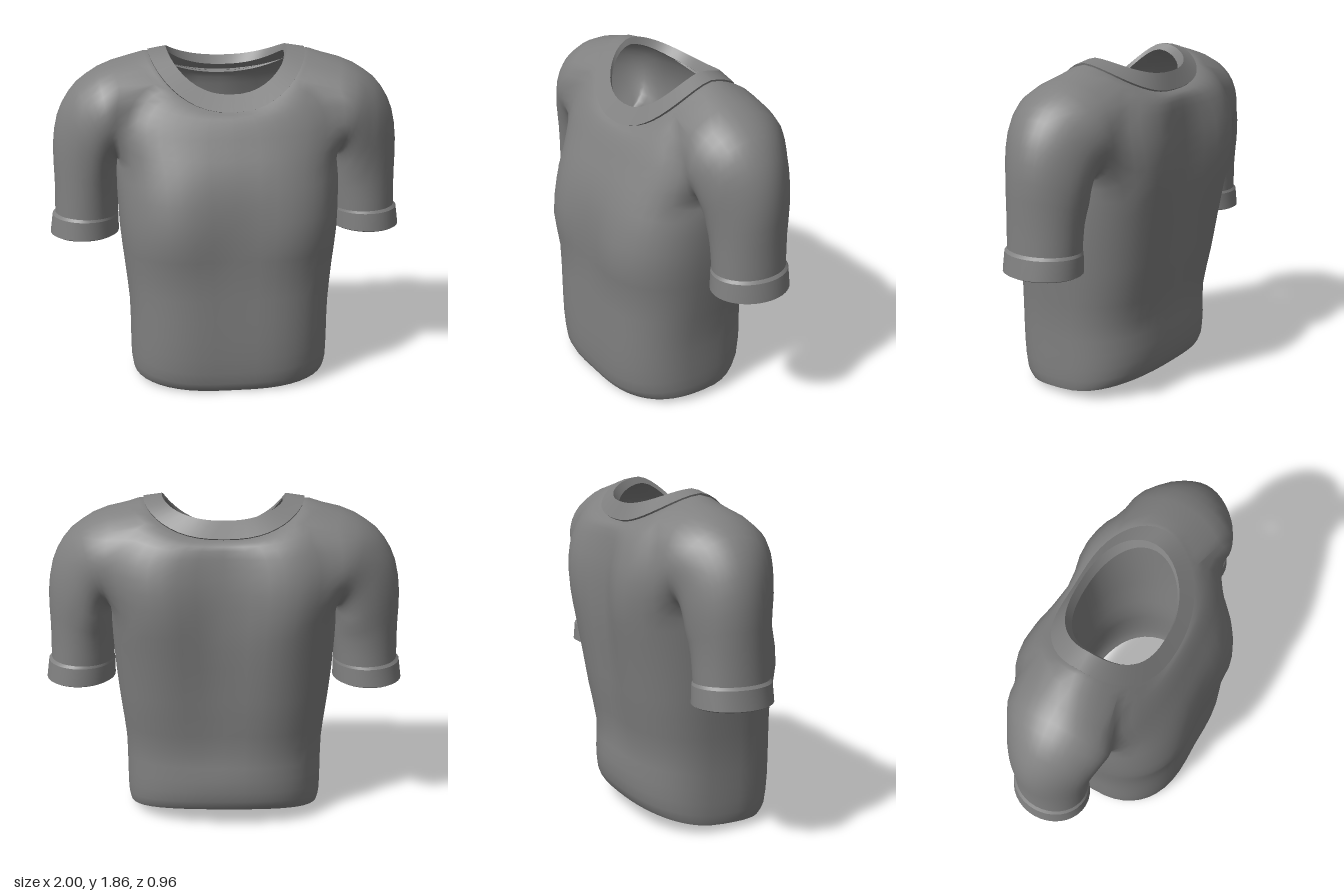
import * as THREE from 'three';
import { mergeGeometries } from 'three/addons/utils/BufferGeometryUtils.js';

const N = 48; // columns around the torso
const spow = (v, e) => Math.sign(v) * Math.pow(Math.abs(v), e);

// Catmull-Rom refinement of a list of key rows
function refine(keys, n) {
  const out = [];
  for (let i = 0; i < keys.length - 1; i++) {
    const p = [i - 1, i, i + 1, i + 2].map(k => keys[Math.min(Math.max(k, 0), keys.length - 1)]);
    for (let s = 0; s < n; s++) {
      const t = s / n;
      out.push(p[1].map((b, k) => {
        const a = p[0][k], c = p[2][k], d = p[3][k];
        return b + 0.5 * t * (c - a + t * (2 * a - 5 * b + 4 * c - d + t * (3 * (b - c) + d - a)));
      }));
    }
  }
  out.push(keys[keys.length - 1]);
  return out;
}

// Torso row: front, side and back heights, half width, front z, back z, squareness, chest dip, spine groove
function torsoRing([yF, yS, yB, w, zF, zB, e, dip, groove]) {
  return Array.from({ length: N }, (_, i) => {
    const a = (i / N) * Math.PI * 2, c = Math.cos(a);
    const x = w * spow(Math.sin(a), e);
    const g = Math.exp(-((x / 0.23) ** 2)) * (c > 0 ? dip : groove);
    const z = (zF + zB) / 2 + (zF - zB) / 2 * spow(c, e) - Math.sign(c) * g;
    const y = yS + ((c > 0 ? yF : yB) - yS) * Math.pow(Math.abs(c), 1.5);
    return [x, y, z];
  });
}

// Sleeve ring: inner point, outer point, centre z, half depth, extra width on the inner side
function sleeveRing([ax, ay, bx, by, zc, d, egg], side, count) {
  return Array.from({ length: count }, (_, i) => {
    const t = (i / count) * Math.PI * 2, c = Math.cos(t);
    const z = zc + d * Math.sin(t) * (1 - egg * c);
    return [side * ((ax + bx) / 2 + (bx - ax) / 2 * c), (ay + by) / 2 + (by - ay) / 2 * c, z];
  });
}

// Quads between two loops of vertex indices
function bridge(index, a, b, flip, skip = () => false) {
  for (let i = 0; i < a.length; i++) {
    const k = (i + 1) % a.length;
    if (skip(i)) continue;
    if (flip) index.push(a[i], b[k], a[k], a[i], b[i], b[k]);
    else index.push(a[i], a[k], b[k], a[i], b[k], b[i]);
  }
}

function toGeometry(points, index) {
  const g = new THREE.BufferGeometry();
  g.setAttribute('position', new THREE.Float32BufferAttribute(points.flat(), 3));
  g.setIndex(index);
  g.computeVertexNormals();
  return g.toNonIndexed();
}

// Bands between consecutive rings, creased at every ring
function bandGeometry(rings, flip) {
  return mergeGeometries(rings.slice(1).map((ring, r) => {
    const n = ring.length, index = [];
    const lower = ring.map((_, i) => i);
    bridge(index, lower, lower.map(i => i + n), flip);
    return toGeometry([...rings[r], ...ring], index);
  }));
}

const torsoKeys = [
  [0.00, 0.04, 0.11, 0.55, 0.43, -0.35, 0.79, 0.01, 0],
  [0.05, 0.10, 0.17, 0.56, 0.465, -0.38, 0.78, 0.02, 0],
  [0.20, 0.25, 0.30, 0.562, 0.482, -0.39, 0.77, 0.025, 0],
  [0.42, 0.44, 0.46, 0.565, 0.485, -0.388, 0.77, 0.03, 0.02],
  [0.66, 0.66, 0.68, 0.588, 0.485, -0.432, 0.77, 0.035, 0.045],
  [0.87, 0.87, 0.88, 0.61, 0.518, -0.47, 0.78, 0.06, 0.07],
  [1.08, 1.08, 1.08, 0.62, 0.485, -0.505, 0.77, 0.035, 0.09],
  [1.24, 1.24, 1.24, 0.625, 0.428, -0.528, 0.75, 0.015, 0.11],
  [1.36, 1.42, 1.40, 0.66, 0.368, -0.52, 0.75, 0.005, 0.105],
  [1.45, 1.58, 1.53, 0.67, 0.324, -0.485, 0.77, 0, 0.085],
  [1.51, 1.735, 1.62, 0.60, 0.29, -0.445, 0.8, 0, 0.06],
  [1.53, 1.825, 1.655, 0.50, 0.268, -0.40, 0.84, 0, 0.035],
  [1.545, 1.835, 1.67, 0.43, 0.25, -0.36, 0.88, 0, 0.03],
];

const sleeveKeys = [
  [0.61, 1.245, 0.66, 1.785, -0.06, 0.312, 0],
  [0.612, 1.235, 0.78, 1.715, -0.055, 0.285, 0.05],
  [0.615, 1.215, 0.875, 1.618, -0.052, 0.262, 0.15],
  [0.618, 1.185, 0.94, 1.49, -0.055, 0.245, 0.22],
  [0.617, 1.13, 0.968, 1.32, -0.058, 0.229, 0.18],
  [0.615, 1.05, 0.966, 1.12, -0.055, 0.212, 0.06],
  [0.618, 0.92, 0.97, 0.93, -0.055, 0.205, 0],
];

const cuffKeys = [
  [0.618, 0.93, 0.97, 0.94, -0.055, 0.205, 0],
  [0.615, 0.915, 0.985, 0.925, -0.055, 0.214, 0],
  [0.615, 0.82, 1.0, 0.82, -0.055, 0.22, 0],
  [0.63, 0.812, 0.985, 0.812, -0.055, 0.206, 0],
  [0.635, 0.90, 0.965, 0.90, -0.055, 0.198, 0],
];

const collarKeys = [
  [1.54, 1.825, 1.66, 0.43, 0.25, -0.355, 0.88, 0, 0.03],
  [1.545, 1.845, 1.675, 0.435, 0.272, -0.375, 0.88, 0, 0.03],
  [1.63, 1.86, 1.765, 0.335, 0.205, -0.315, 0.88, 0, 0.01],
  [1.605, 1.825, 1.715, 0.318, 0.197, -0.275, 0.88, 0, 0],
  [1.56, 1.80, 1.68, 0.40, 0.23, -0.33, 0.88, 0, 0],
];

// Torso with two armholes, each continued seamlessly into a sleeve
function shirtGeometry() {
  const points = [], index = [];
  const addRing = ring => ring.map(p => points.push(p) - 1);
  const rows = refine(torsoKeys, 2).map(k => addRing(torsoRing(k)));
  const r0 = 14, r1 = 22, half = 5;
  const inArmhole = i => [N / 4, 3 * N / 4].some(c => i >= c - half && i < c + half);
  for (let r = 0; r < rows.length - 1; r++)
    bridge(index, rows[r], rows[r + 1], false, i => r >= r0 && r < r1 && inArmhole(i));

  for (const side of [1, -1]) {
    const at = (r, k) => rows[r][side > 0 ? N / 4 + k : 3 * N / 4 - k];
    // Armhole edge: top centre, front, bottom, back, top
    let loop = [];
    for (let k = 0; k > -half; k--) loop.push(at(r1, k));
    for (let r = r1; r > r0; r--) loop.push(at(r, -half));
    for (let k = -half; k < half; k++) loop.push(at(r0, k));
    for (let r = r0; r < r1; r++) loop.push(at(r, half));
    for (let k = half; k > 0; k--) loop.push(at(r1, k));
    for (const key of refine(sleeveKeys, 2)) {
      const next = addRing(sleeveRing(key, side, loop.length));
      bridge(index, loop, next, side < 0);
      loop = next;
    }
  }

  // Relax the shoulder seams so that torso and sleeve flow together
  const near = points.map(() => new Set());
  for (let i = 0; i < index.length; i += 3)
    for (let k = 0; k < 3; k++) {
      near[index[i + k]].add(index[i + (k + 1) % 3]);
      near[index[i + k]].add(index[i + (k + 2) % 3]);
    }
  for (let pass = 0; pass < 2; pass++) {
    const old = points.map(p => [...p]);
    old.forEach((p, i) => {
      if (Math.abs(p[0]) < 0.47 || Math.abs(p[0]) > 0.8 || p[1] < 1.22 || !near[i].size) return;
      const list = [...near[i]];
      points[i] = p.map((v, k) => v * 0.5 + 0.5 * list.reduce((s, j) => s + old[j][k], 0) / list.length);
    });
  }
  return toGeometry(points, index);
}

export function createModel() {
  const cloth = new THREE.MeshStandardMaterial({ color: 0x808080, side: THREE.DoubleSide });
  cloth.name = 'grey cloth';
  const group = new THREE.Group();
  group.name = 'shirt';
  const add = (name, geometry) => {
    const mesh = new THREE.Mesh(geometry, cloth);
    mesh.name = name;
    group.add(mesh);
  };
  add('bodyAndSleeves', shirtGeometry());
  add('collar', bandGeometry(collarKeys.map(torsoRing), false));
  for (const [name, side] of [['leftCuff', 1], ['rightCuff', -1]])
    add(name, bandGeometry(cuffKeys.map(k => sleeveRing(k, side, 36)), side < 0));
  return group;
}
